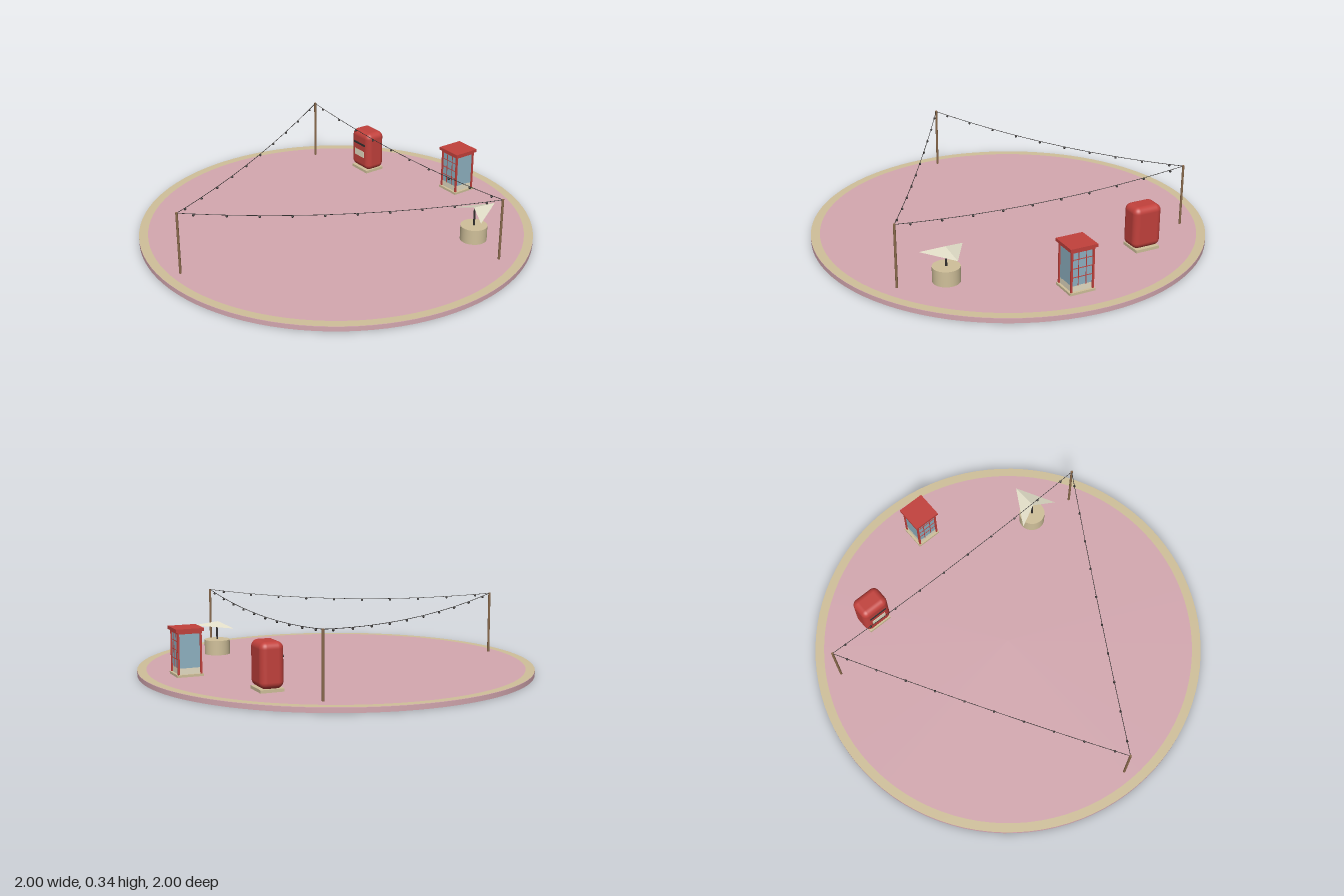
import * as THREE from 'three';
import { RoundedBoxGeometry } from 'three/addons/geometries/RoundedBoxGeometry.js';

const mat = (color, side = THREE.FrontSide) => new THREE.MeshStandardMaterial({ color, side });
const PINK = mat(0xd4a8b0), SAND = mat(0xd0c09a), RED = mat(0xc2413c), GLASS = mat(0x8fb2c2);
const CREAM = mat(0xe6ddc4), DARK = mat(0x33302f), WOOD = mat(0x8a6a4c);
const CANVAS = mat(0xe2dec8, THREE.DoubleSide);
const GROUND = 0.025;

function add(parent, name, geometry, material, x = 0, y = 0, z = 0) {
  const mesh = new THREE.Mesh(geometry, material);
  mesh.name = name;
  mesh.position.set(x, y, z);
  parent.add(mesh);
  return mesh;
}
const box = (w, h, d) => new THREE.BoxGeometry(w, h, d);
const cyl = (r, h, n = 16) => new THREE.CylinderGeometry(r, r, h, n);

function group(parent, name, x, z) {
  const g = new THREE.Group();
  g.name = name;
  g.position.set(x, GROUND, z);
  parent.add(g);
  return g;
}

// Round plaza with a sand-coloured border
function addPlaza(root) {
  add(root, 'plazaDisc', cyl(1, GROUND - 0.001, 96), PINK, 0, (GROUND - 0.001) / 2, 0);
  const ring = add(root, 'plazaBorder', new THREE.RingGeometry(0.955, 1, 96), SAND, 0, GROUND + 0.001, 0);
  ring.rotation.x = -Math.PI / 2;
}

// Rounded letter box on a small plinth
function addLetterBox(root) {
  const g = group(root, 'letterBox', -0.455, -0.548);
  add(g, 'plinth', box(0.13, 0.015, 0.115), SAND, 0, 0.0075, 0);
  add(g, 'body', new RoundedBoxGeometry(0.154, 0.216, 0.116, 5, 0.032), RED, 0, 0.123, 0);
  add(g, 'slot', box(0.1, 0.011, 0.006), DARK, 0, 0.161, 0.058);
  add(g, 'label', box(0.08, 0.036, 0.004), CREAM, 0, 0.104, 0.058);
}

// Glazed booth with red frame
function addBooth(root) {
  const g = group(root, 'booth', 0.045, -0.776);
  add(g, 'base', box(0.132, 0.012, 0.132), SAND, 0, 0.006, 0);
  add(g, 'lowerPanel', box(0.108, 0.032, 0.108), CREAM, 0, 0.026, 0);
  add(g, 'glass', box(0.108, 0.176, 0.108), GLASS, 0, 0.128, 0);
  for (const sx of [-1, 1]) for (const sz of [-1, 1])
    add(g, 'cornerPost', box(0.009, 0.208, 0.009), RED, sx * 0.056, 0.115, sz * 0.056);
  for (const sz of [-1, 1]) {
    for (const x of [-0.02, 0.02])
      add(g, 'uprightBar', box(0.003, 0.176, 0.003), RED, x, 0.128, sz * 0.055);
    for (const y of [0.084, 0.128, 0.172])
      add(g, 'crossBar', box(0.108, 0.003, 0.003), RED, 0, y, sz * 0.055);
  }
  add(g, 'eaves', box(0.122, 0.012, 0.122), RED, 0, 0.215, 0);
  add(g, 'roof', box(0.14, 0.015, 0.14), RED, 0, 0.2275, 0);
}

// Round stone base with a pole and a folded three-cornered canopy
function addShade(root) {
  const g = group(root, 'shadeStand', 0.545, -0.452);
  add(g, 'stoneBase', cyl(0.067, 0.077, 32), SAND, 0, 0.0385, 0);
  add(g, 'pole', cyl(0.005, 0.092, 10), DARK, 0, 0.121, 0);
  const peak = [0, 0.174, 0.006], back = [0, 0.16, -0.133];
  const left = [0.11, 0.146, 0.057], right = [-0.11, 0.146, 0.057];
  const geometry = new THREE.BufferGeometry();
  geometry.setAttribute('position', new THREE.Float32BufferAttribute(
    [...peak, ...left, ...back, ...peak, ...back, ...right], 3));
  geometry.computeVertexNormals();
  add(g, 'canopy', geometry, CANVAS);
}

// Three posts joined by sagging strings of small lamps
function addLights(root) {
  const top = 0.342, sag = 0.04, lamps = 10;
  const corners = [[-0.775, -0.412], [0.775, -0.412], [0, 0.905]];
  corners.forEach(([x, z], i) => {
    add(root, 'post', cyl(0.006, 0.32, 10), WOOD, x, GROUND + 0.16, z);
    const [x2, z2] = corners[(i + 1) % 3];
    const at = t => new THREE.Vector3(
      x + (x2 - x) * t, top - sag * 4 * t * (1 - t), z + (z2 - z) * t);
    const points = Array.from({ length: 21 }, (_, k) => at(k / 20));
    const path = new THREE.CatmullRomCurve3(points);
    add(root, 'lightString', new THREE.TubeGeometry(path, 40, 0.0015, 5), DARK);
    for (let k = 0; k < lamps; k++) {
      const p = at((k + 0.5) / lamps);
      add(root, 'lamp', new THREE.SphereGeometry(0.006, 10, 8), DARK, p.x, p.y - 0.006, p.z);
    }
  });
}

export function createModel() {
  const root = new THREE.Group();
  root.name = 'plaza';
  addPlaza(root);
  addLetterBox(root);
  addBooth(root);
  addShade(root);
  addLights(root);
  return root;
}
